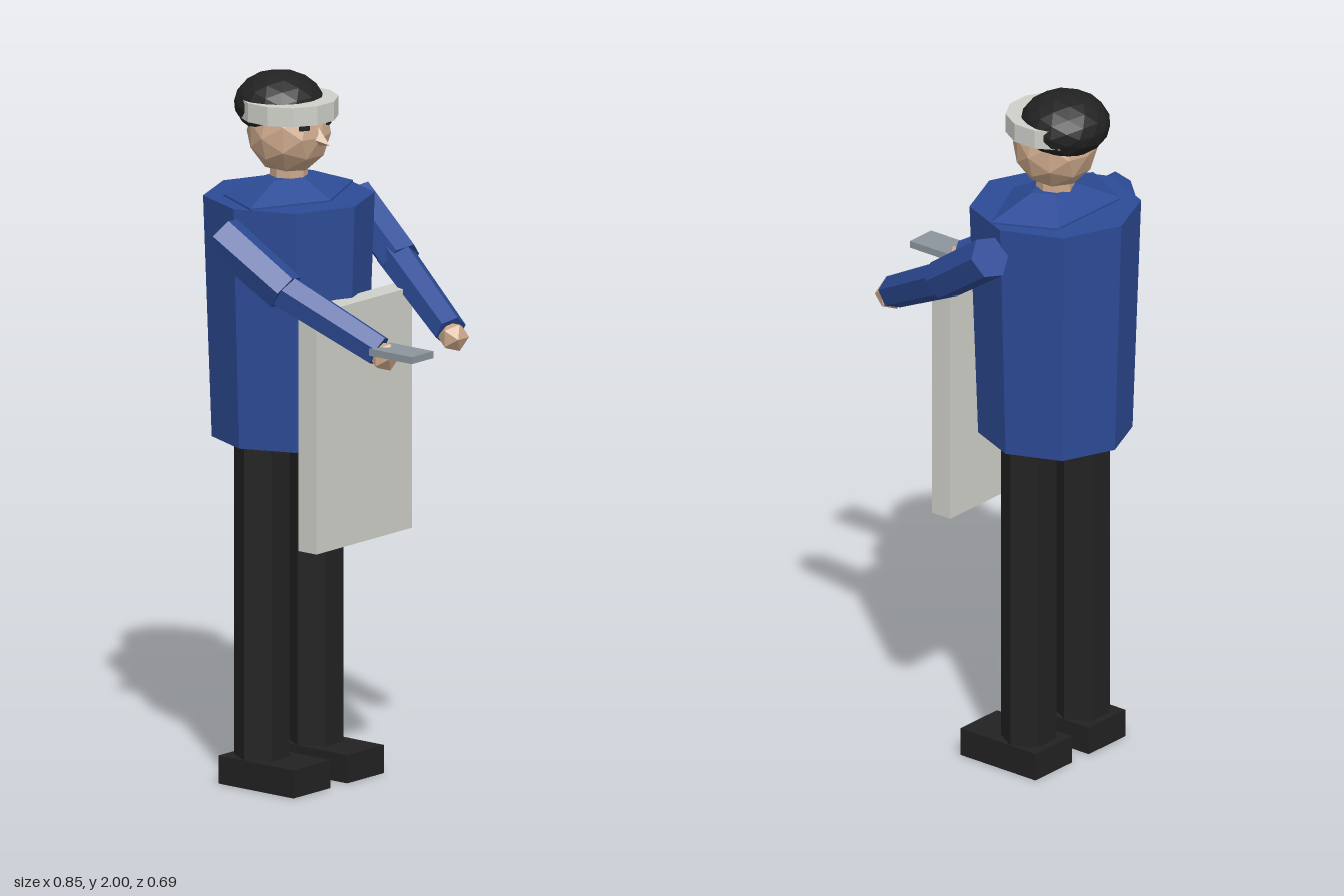
import * as THREE from 'three';

const material = (name, color) => {
  const m = new THREE.MeshStandardMaterial({ color, flatShading: true });
  m.name = name;
  return m;
};

export function createModel() {
  const group = new THREE.Group();
  group.name = 'standingWorker';
  const blue = material('jacketBlue', 0x2d4b96);
  const black = material('trouserBlack', 0x222222);
  const skin = material('skin', 0xcba88a);
  const white = material('offWhite', 0xd0d0ca);
  const grey = material('slateGrey', 0x8c959d);
  const AXIS = -0.19; // the body stands behind the centre, facing +x

  const add = (name, geometry, mat, x, y, z) => {
    const mesh = new THREE.Mesh(geometry, mat);
    mesh.name = name;
    mesh.position.set(x, y, z);
    group.add(mesh);
    return mesh;
  };

  // Six-sided limb running between two points
  const limb = (name, from, to, r0, r1) => {
    const a = new THREE.Vector3(...from);
    const b = new THREE.Vector3(...to);
    const dir = b.clone().sub(a);
    const mid = a.clone().add(b).multiplyScalar(0.5);
    const mesh = add(name, new THREE.CylinderGeometry(r1, r0, dir.length(), 6), blue, mid.x, mid.y, mid.z);
    mesh.quaternion.setFromUnitVectors(new THREE.Vector3(0, 1, 0), dir.normalize());
  };

  // Torso, sloping collar and neck
  add('torso', new THREE.CylinderGeometry(0.238, 0.214, 0.685, 8), blue, AXIS, 1.3125, 0);
  const collar = new THREE.CylinderGeometry(0.055, 0.15, 0.05, 5);
  collar.rotateY(Math.PI / 2).scale(1, 1, 1.54);
  add('collar', collar, blue, AXIS, 1.685, 0);
  const collarBase = new THREE.CylinderGeometry(0.15, 0.15, 0.012, 5);
  collarBase.rotateY(Math.PI / 2).scale(1, 1, 1.54);
  add('collarBase', collarBase, blue, AXIS, 1.654, 0);
  add('neck', new THREE.CylinderGeometry(0.052, 0.055, 0.1, 8), skin, AXIS, 1.7, 0);

  // Head, hair and headband
  add('head', new THREE.IcosahedronGeometry(0.118, 1), skin, AXIS, 1.832, 0);
  const hair = new THREE.IcosahedronGeometry(0.126, 2);
  hair.scale(1, 0.72, 1);
  add('hair', hair, black, -0.225, 1.909, 0);
  const band = new THREE.CylinderGeometry(0.138, 0.138, 0.054, 12);
  band.rotateY(Math.PI / 12);
  add('headband', band, white, AXIS, 1.904, 0);

  // Nose: a small wedge leaning forward
  const nose = new THREE.ConeGeometry(0.032, 0.06, 4);
  nose.rotateZ(-Math.PI / 2 - 0.35);
  add('nose', nose, skin, -0.07, 1.825, 0);

  for (const s of [1, -1]) {
    const side = s > 0 ? 'right' : 'left';

    const eye = add(side + 'Eye', new THREE.BoxGeometry(0.009, 0.018, 0.03), black, -0.09, 1.868, s * 0.052);
    eye.rotation.y = -s * 0.45;

    // Leg and shoe
    add(side + 'Leg', new THREE.CylinderGeometry(0.078, 0.078, 0.95, 6), black, AXIS, 0.515, s * 0.115);
    add(side + 'Shoe', new THREE.BoxGeometry(0.27, 0.08, 0.158), black, -0.145, 0.04, s * 0.115);

    // Arm reaching forward and inward
    limb(side + 'UpperArm', [-0.192, 1.59, s * 0.285], [0.008, 1.452, s * 0.247], 0.062, 0.059);
    limb(side + 'Forearm', [-0.02, 1.465, s * 0.25], [0.265, 1.308, s * 0.153], 0.054, 0.047);
    add(side + 'Hand', new THREE.IcosahedronGeometry(0.044, 0), skin, 0.279, 1.295, s * 0.148);
  }

  // Front panel and the flat plate held in one hand
  add('frontPanel', new THREE.BoxGeometry(0.065, 0.685, 0.41), white, 0.05, 1.0525, 0);
  add('heldPlate', new THREE.BoxGeometry(0.155, 0.02, 0.092), grey, 0.3475, 1.315, 0.156);

  return group;
}
